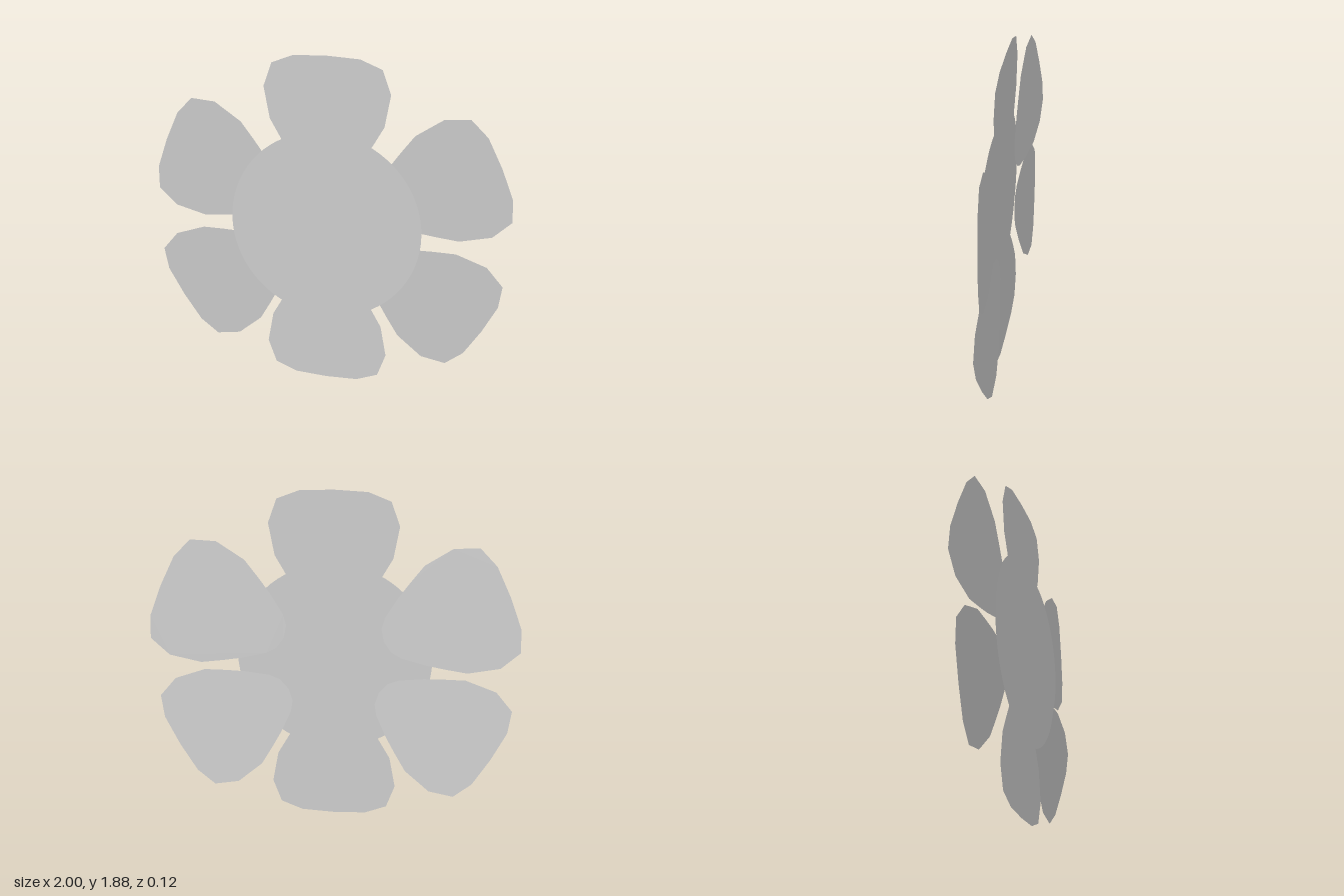
import * as THREE from 'three';

const CENTRE_Y = 0.943;

// Right half of a petal outline, from the inner tip (origin) to the outer edge
const HALF = [[0.07, 0.015], [0.12, 0.055], [0.2, 0.165], [0.255, 0.255], [0.315, 0.36],
  [0.347, 0.535], [0.3, 0.665], [0.18, 0.712]];

export function createModel() {
  const flower = new THREE.Group();
  flower.name = 'flower';
  const material = new THREE.MeshStandardMaterial({ color: 0xcccccc, side: THREE.DoubleSide });

  const add = (name, geometry) => {
    const mesh = new THREE.Mesh(geometry, material);
    mesh.name = name;
    flower.add(mesh);
    return mesh;
  };

  // Flat discs of the flower head
  const disc = (name, radius, z) =>
    add(name, new THREE.CircleGeometry(radius, 72)).position.set(0, CENTRE_Y, z);
  disc('innerDisc', 0.43, 0.06);
  disc('outerDisc', 0.535, 0.02);

  // Petal sheet: turned in the front plane, then sloped back by slopeX and slopeY
  const outline = [[0, 0], ...HALF, [0, 0.72], ...HALF.map(([x, y]) => [-x, y]).reverse()];
  const shape = new THREE.Shape(outline.map(([x, y]) => new THREE.Vector2(x, y)));
  const petal = (name, tipX, tipY, degrees, z, slopeX = 0, slopeY = 0) => {
    const geometry = new THREE.ShapeGeometry(shape);
    geometry.rotateZ(THREE.MathUtils.degToRad(degrees));
    geometry.translate(tipX, tipY, 0);
    const p = geometry.attributes.position;
    for (let i = 0; i < p.count; i++) {
      const dx = Math.abs(p.getX(i)) - Math.abs(tipX);
      p.setZ(i, z + slopeX * dx + slopeY * (p.getY(i) - tipY));
    }
    geometry.computeVertexNormals();
    add(name, geometry);
  };

  petal('topPetal', 0, 1.162, 0, -0.01);
  petal('bottomPetal', 0, 0.724, 180, -0.01);

  // Side petals in mirrored pairs
  for (const [side, s] of [['left', 1], ['right', -1]]) {
    petal(side + 'UpperPetal', s * 0.272, 1.06, s * -67, -0.015, -0.062, 0.047);
    petal(side + 'LowerPetal', s * 0.25, 0.76, s * -120, -0.015, 0, 0.067);
  }
  return flower;
}
